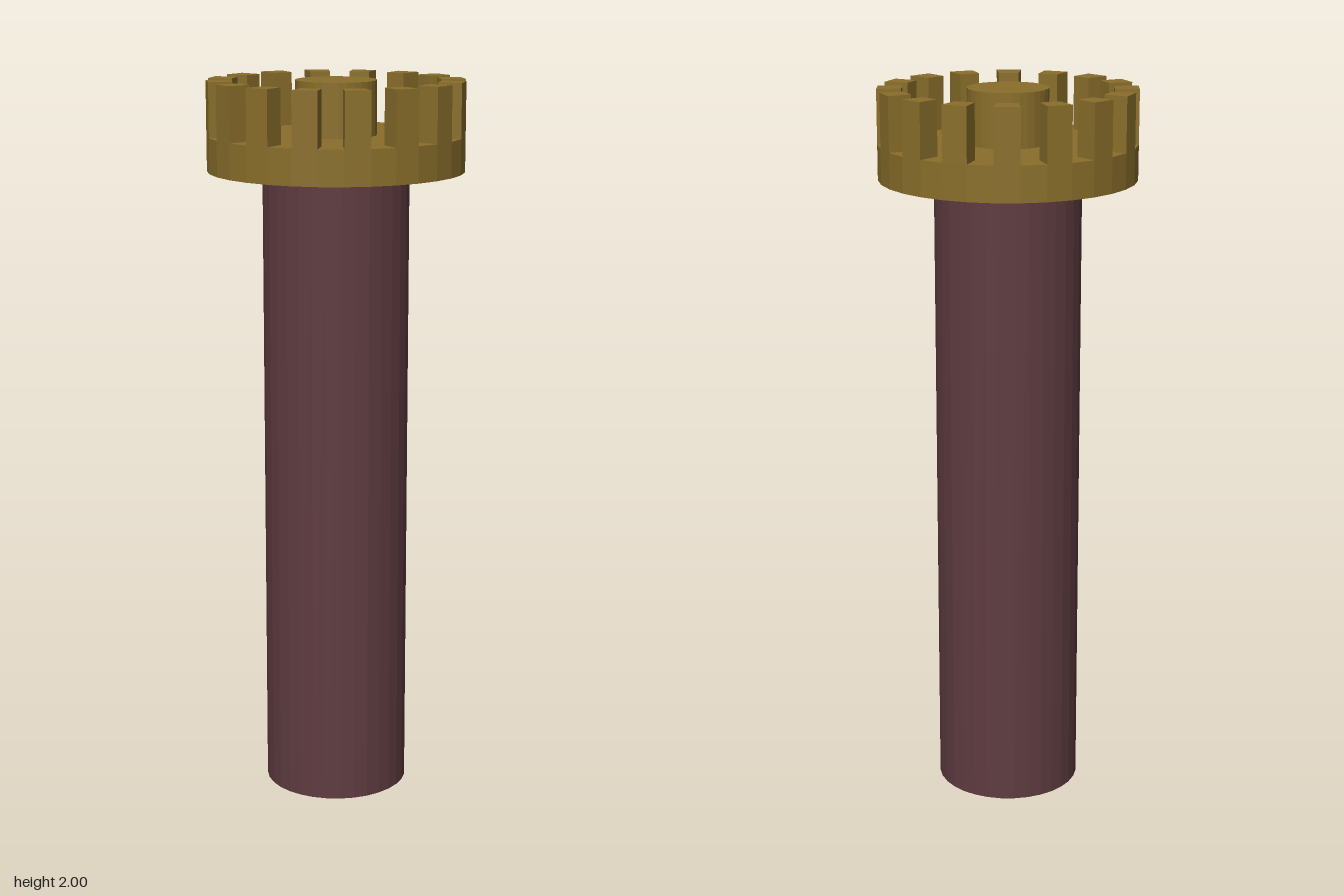
import * as THREE from 'three';

const SIDES = 32, TEETH = 16;
const HEAD_BOTTOM = 1.757, HEAD_FLOOR = 1.853, TOP = 2;
const HEAD_R = 0.35, TOOTH_INNER_R = 0.284;

export function createModel() {
  const model = new THREE.Group();
  const brass = new THREE.MeshStandardMaterial({ color: 0x8a6f2b, flatShading: true });
  const maroon = new THREE.MeshStandardMaterial({ color: 0x5f3c40, flatShading: true });

  // Upright cylinder between two heights
  const addCylinder = (name, radius, y0, y1, material) => {
    const mesh = new THREE.Mesh(new THREE.CylinderGeometry(radius, radius, y1 - y0, SIDES), material);
    mesh.name = name;
    mesh.position.y = (y0 + y1) / 2;
    model.add(mesh);
  };

  addCylinder('shaft', 0.2, 0, HEAD_BOTTOM, maroon);
  addCylinder('headDisc', HEAD_R, HEAD_BOTTOM, HEAD_FLOOR, brass);
  addCylinder('centreBoss', 0.11, HEAD_FLOOR, TOP, brass);

  // Each tooth spans one side of the disc, leaving every other side open
  const step = (Math.PI * 2) / SIDES;
  const corner = (r, a) => new THREE.Vector2(r * Math.cos(a), r * Math.sin(a));
  const outline = new THREE.Shape([
    corner(TOOTH_INNER_R, 0), corner(HEAD_R, 0),
    corner(HEAD_R, step), corner(TOOTH_INNER_R, step),
  ]);
  const toothGeometry = new THREE.ExtrudeGeometry(outline, { depth: TOP - HEAD_FLOOR, bevelEnabled: false });
  toothGeometry.rotateX(-Math.PI / 2);

  const crown = new THREE.Group();
  crown.name = 'crownTeeth';
  for (let i = 0; i < TEETH; i++) {
    const tooth = new THREE.Mesh(toothGeometry, brass);
    tooth.name = 'tooth';
    tooth.position.y = HEAD_FLOOR;
    tooth.rotation.y = (i / TEETH) * Math.PI * 2;
    crown.add(tooth);
  }
  model.add(crown);

  return model;
}
